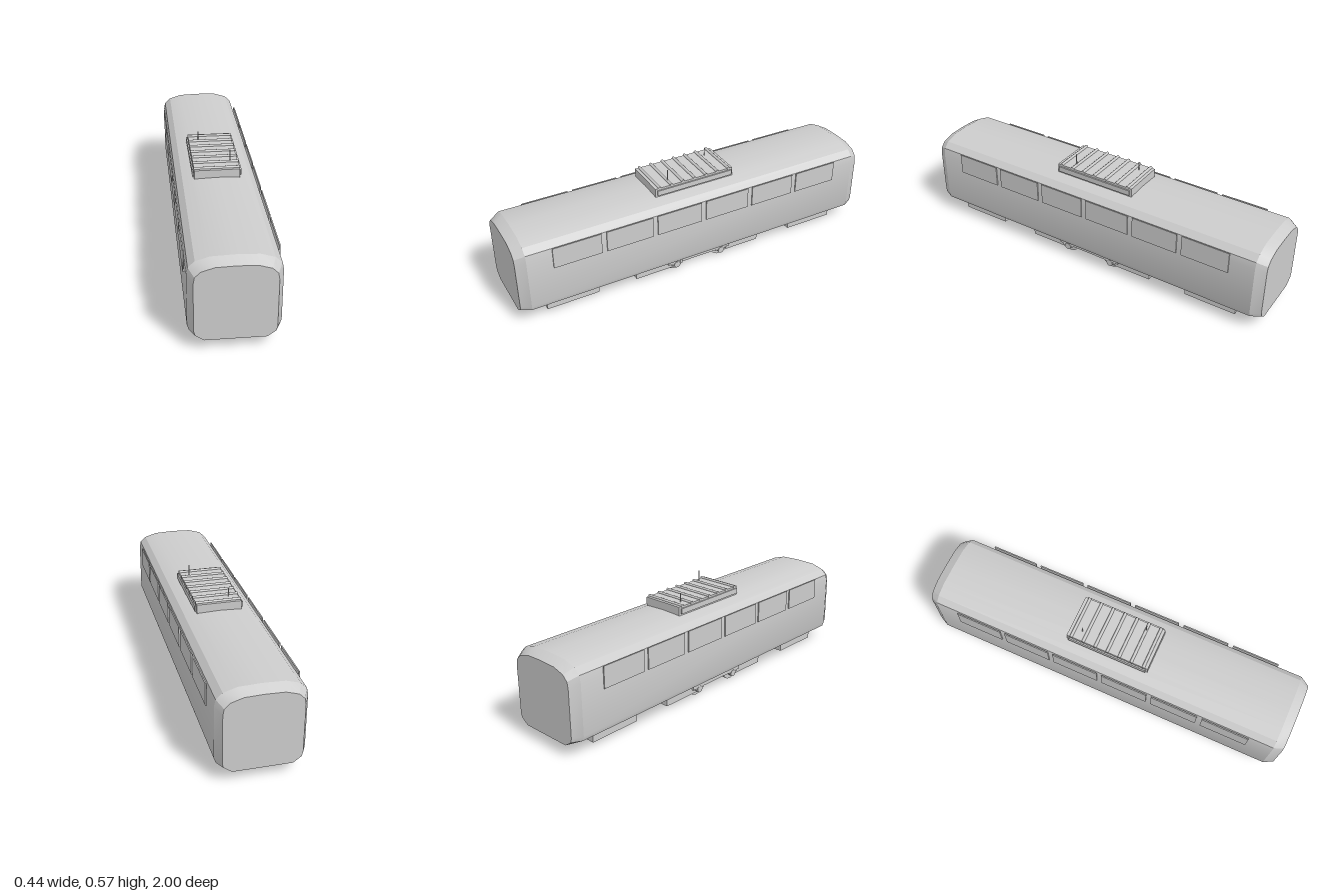
import * as THREE from 'three';
import { toCreasedNormals } from 'three/addons/utils/BufferGeometryUtils.js';

export function createModel() {
  const model = new THREE.Group();
  model.name = 'railcar';
  const grey = new THREE.MeshStandardMaterial({ color: 0xcccccc });
  grey.name = 'plainGrey';

  function add(name, geometry, x = 0, y = 0, z = 0, parent = model) {
    const mesh = new THREE.Mesh(geometry, grey);
    mesh.name = name;
    mesh.position.set(x, y, z);
    parent.add(mesh);
    return mesh;
  }
  // box given by its limits on each axis
  function box(name, x0, x1, y0, y1, z0, z1, parent) {
    return add(name, new THREE.BoxGeometry(x1 - x0, y1 - y0, z1 - z0),
      (x0 + x1) / 2, (y0 + y1) / 2, (z0 + z1) / 2, parent);
  }

  // body shell: half sections from bottom to roof, mirrored and lofted
  const wide = [[0.145, 0.06], [0.203, 0.086], [0.211, 0.11], [0.211, 0.375],
    [0.204, 0.41], [0.173, 0.439], [0.107, 0.459]];
  const narrow = [[0.14, 0.06], [0.179, 0.088], [0.185, 0.11], [0.185, 0.356],
    [0.179, 0.389], [0.153, 0.415], [0.092, 0.434]];
  const ring = (half, top, z) => [...half, [0, top],
    ...half.slice().reverse().map(([x, y]) => [-x, y])].map(([x, y]) => [x, y, z]);
  const rings = [ring(narrow, 0.437, 1), ring(wide, 0.463, 0.95),
    ring(wide, 0.463, -0.95), ring(narrow, 0.437, -1)];
  const n = rings[0].length;
  const corners = [];
  for (let r = 0; r < 3; r++) {
    for (let i = 0; i < n; i++) {
      const j = (i + 1) % n;
      const [a, b, c, d] = [rings[r][i], rings[r + 1][i], rings[r + 1][j], rings[r][j]];
      corners.push(...a, ...b, ...c, ...a, ...c, ...d);
    }
  }
  for (let i = 1; i < n - 1; i++) {
    corners.push(...rings[0][0], ...rings[0][i], ...rings[0][i + 1]);
    corners.push(...rings[3][0], ...rings[3][i + 1], ...rings[3][i]);
  }
  const shell = new THREE.BufferGeometry();
  shell.setAttribute('position', new THREE.Float32BufferAttribute(corners, 3));
  add('body', toCreasedNormals(shell, 0.42));

  // side window panels
  for (const s of [-1, 1]) {
    for (let i = 0; i < 6; i++) {
      add('windowPanel', new THREE.BoxGeometry(0.006, 0.112, 0.251),
        s * 0.215, 0.359, 0.695 - i * 0.278);
    }
  }

  // roof unit with cross ribs, side rails and aerials
  const roof = new THREE.Group();
  roof.name = 'roofUnit';
  model.add(roof);
  box('roofBox', -0.115, 0.115, 0.44, 0.504, -0.225, 0.225, roof);
  for (let i = -3; i <= 3; i++) {
    const rib = add('roofRib', new THREE.CylinderGeometry(0.008, 0.008, 0.235, 8), 0, 0.505, i * 0.067, roof);
    rib.rotation.z = Math.PI / 2;
  }
  for (const s of [-1, 1]) {
    add('roofRail', new THREE.BoxGeometry(0.007, 0.028, 0.43), s * 0.121, 0.481, 0, roof);
  }
  add('tallAerial', new THREE.CylinderGeometry(0.003, 0.003, 0.07, 8), 0.075, 0.534, 0.135, roof);
  add('shortAerial', new THREE.CylinderGeometry(0.0025, 0.0025, 0.05, 8), -0.063, 0.524, -0.16, roof);

  // equipment boxes under the floor
  for (const s of [-1, 1]) {
    add('outerEquipmentBox', new THREE.BoxGeometry(0.33, 0.045, 0.28), 0, 0.0475, s * 0.72);
    add('innerEquipmentBox', new THREE.BoxGeometry(0.33, 0.045, 0.245), 0, 0.0475, s * 0.2475);
  }

  // truck: frames, wheels, axle boxes and track brakes
  const truck = new THREE.Group();
  truck.name = 'truck';
  model.add(truck);
  for (const s of [-1, 1]) {
    add('truckFrame', new THREE.BoxGeometry(0.012, 0.018, 0.37), s * 0.169, 0.058, 0, truck);
    for (const z of [-0.135, 0.135]) {
      const wheel = add('wheel', new THREE.CylinderGeometry(0.052, 0.052, 0.014, 24), s * 0.143, 0.053, z, truck);
      wheel.rotation.z = Math.PI / 2;
      const axleBox = add('axleBox', new THREE.CylinderGeometry(0.018, 0.018, 0.014, 16), s * 0.17, 0.04, z, truck);
      axleBox.rotation.z = Math.PI / 2;
      for (const d of [-0.025, 0.025]) {
        add('spring', new THREE.CylinderGeometry(0.008, 0.008, 0.025, 10), s * 0.169, 0.055, z + d, truck);
      }
    }
    add('brakeShoe', new THREE.BoxGeometry(0.015, 0.01, 0.13), s * 0.077, 0.007, 0, truck);
    for (const z of [-0.04, 0.04]) {
      add('brakeHanger', new THREE.CylinderGeometry(0.006, 0.006, 0.055, 10), s * 0.077, 0.039, z, truck);
    }
  }
  for (const z of [-0.135, 0.135]) {
    const axle = add('axle', new THREE.CylinderGeometry(0.01, 0.01, 0.32, 12), 0, 0.05, z, truck);
    axle.rotation.z = Math.PI / 2;
  }
  return model;
}
